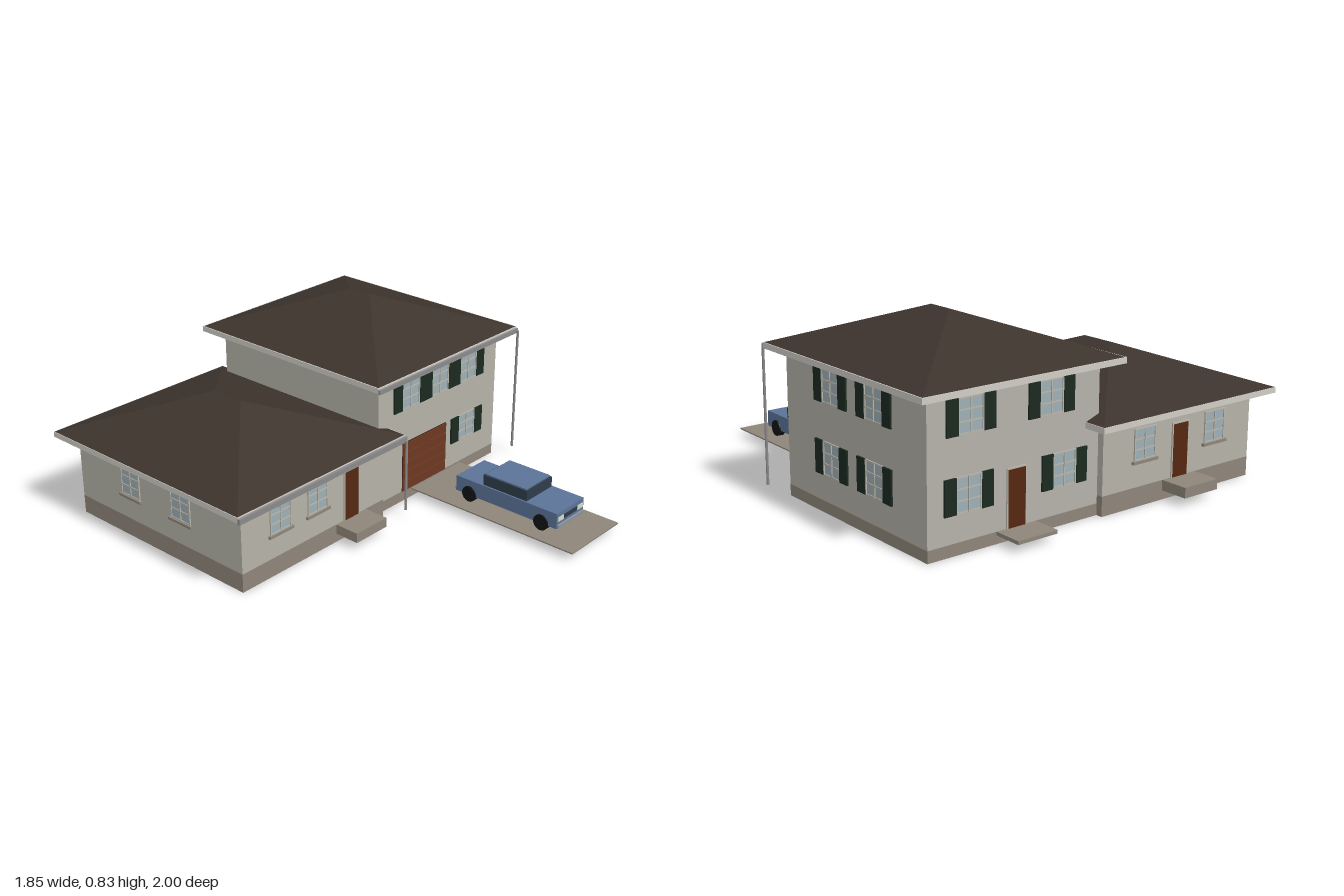
import * as THREE from 'three';

const mat = (color, extra = {}) => new THREE.MeshStandardMaterial({ color, ...extra });
const M = {
  wall: mat(0xb4b2a8), base: mat(0x8f867a), roof: mat(0x3d332d, { flatShading: true }), trim: mat(0xd0cdc6),
  gutter: mat(0x8c8a8c), shutter: mat(0x1b2a1f), door: mat(0x552711), garage: mat(0x6d3823), groove: mat(0x3a1c10),
  glass: mat(0x9db0b4), frame: mat(0xb8b4aa), paint: mat(0x5b7498), carGlass: mat(0x2e3d4a), tyre: mat(0x121314),
  chrome: mat(0x8d949c), lamp: mat(0xd8d8c8),
};

// Box given by its min and max on each axis
function box(parent, name, m, x0, x1, y0, y1, z0, z1) {
  const mesh = new THREE.Mesh(new THREE.BoxGeometry(x1 - x0, y1 - y0, z1 - z0), m);
  mesh.position.set((x0 + x1) / 2, (y0 + y1) / 2, (z0 + z1) / 2);
  mesh.name = name;
  parent.add(mesh);
  return mesh;
}

// Hip roof: rectangle at the eaves rising to a ridge along z
function hipRoof(x0, x1, z0, z1, y0, y1, ridge0, ridge1) {
  const xm = (x0 + x1) / 2;
  const a = [x0, y0, z1], b = [x1, y0, z1], c = [x1, y0, z0], d = [x0, y0, z0];
  const f = [xm, y1, ridge1], k = [xm, y1, ridge0];
  const tris = [a, b, f, b, c, k, b, k, f, c, d, k, d, a, f, d, f, k, a, d, c, a, c, b];
  const g = new THREE.BufferGeometry();
  g.setAttribute('position', new THREE.Float32BufferAttribute(tris.flat(), 3));
  g.computeVertexNormals();
  const mesh = new THREE.Mesh(g, M.roof);
  mesh.name = 'hipRoof';
  return mesh;
}

// Local frame on a wall: +z points outward, x runs along the wall
function onWall(parent, name, side, u, at) {
  const g = new THREE.Group();
  g.name = name;
  if (side === 'front' || side === 'back') g.position.set(u, 0, at);
  else g.position.set(at, 0, u);
  g.rotation.y = { front: 0, back: Math.PI, left: Math.PI / 2, right: -Math.PI / 2 }[side];
  parent.add(g);
  return g;
}

function addWindow(parent, side, u, at, y0, y1, shutters) {
  const g = onWall(parent, 'window', side, u, at);
  const w = 0.06, t = 0.006;
  box(g, 'glass', M.glass, -w, w, y0, y1, -0.004, 0.002);
  for (const x of [-w, -t / 2, w - t]) box(g, 'frameUpright', M.frame, x, x + t, y0, y1, 0, 0.006);
  for (const k of [0, 1 / 3, 2 / 3, 1]) {
    const y = y0 + (y1 - y0 - t) * k;
    box(g, 'frameBar', M.frame, -w, w, y, y + t, 0, 0.005);
  }
  if (shutters) {
    for (const s of [-1, 1]) box(g, 'shutter', M.shutter, s * 0.0875 - 0.0275, s * 0.0875 + 0.0275, y0, y1, 0, 0.008);
  } else {
    box(g, 'sill', M.base, -0.07, 0.07, y0 - 0.012, y0, 0, 0.012);
  }
}

function addDoor(parent, side, u, at, y0, y1) {
  const g = onWall(parent, 'door', side, u, at);
  box(g, 'doorLeaf', M.door, -0.043, 0.043, y0, y1, -0.004, 0.005);
  for (const s of [-1, 1]) box(g, 'jamb', M.frame, s * 0.046 - 0.003, s * 0.046 + 0.003, y0, y1, 0, 0.006);
  box(g, 'lintel', M.frame, -0.049, 0.049, y1, y1 + 0.006, 0, 0.006);
}

function addSpout(parent, x, z, y1) {
  const spout = new THREE.Mesh(new THREE.CylinderGeometry(0.006, 0.006, y1 - 0.04, 8), M.gutter);
  spout.position.set(x, (y1 + 0.04) / 2, z);
  spout.name = 'downspout';
  parent.add(spout);
}

function buildLowWing() {
  const g = new THREE.Group();
  g.name = 'lowWing';
  box(g, 'foundation', M.base, -0.85, 0.01, 0, 0.085, -0.87, 0.15);
  box(g, 'walls', M.wall, -0.85, 0.01, 0.085, 0.375, -0.87, 0.15);
  box(g, 'eaves', M.trim, -0.925, 0.08, 0.375, 0.4, -0.947, 0.215);
  g.add(hipRoof(-0.922, 0.077, -0.944, 0.212, 0.4, 0.58, -0.445, -0.285));
  box(g, 'gutter', M.gutter, -0.925, 0.08, 0.37, 0.395, 0.215, 0.227);
  addSpout(g, 0.07, 0.232, 0.38);
  for (const x of [-0.63, -0.41]) addWindow(g, 'front', x, 0.15, 0.198, 0.335);
  for (const x of [-0.63, -0.22]) addWindow(g, 'back', x, -0.87, 0.198, 0.335);
  for (const z of [-0.53, -0.21]) addWindow(g, 'right', z, -0.85, 0.198, 0.335);
  addDoor(g, 'front', -0.2, 0.15, 0.085, 0.315);
  addDoor(g, 'back', -0.425, -0.87, 0.085, 0.315);
  box(g, 'frontStep', M.base, -0.295, -0.105, 0.04, 0.085, 0.15, 0.27);
  box(g, 'backStep', M.base, -0.52, -0.33, 0.04, 0.085, -1, -0.87);
  return g;
}

function buildTallBlock() {
  const g = new THREE.Group();
  g.name = 'tallBlock';
  box(g, 'foundation', M.base, 0.01, 0.85, 0, 0.05, -0.84, 0.12);
  box(g, 'walls', M.wall, 0.01, 0.85, 0.05, 0.635, -0.84, 0.12);
  box(g, 'eaves', M.trim, -0.063, 0.922, 0.63, 0.655, -0.915, 0.182);
  g.add(hipRoof(-0.058, 0.917, -0.91, 0.178, 0.655, 0.83, -0.425, -0.305));
  box(g, 'gutter', M.gutter, -0.063, 0.922, 0.627, 0.648, 0.182, 0.192);
  addSpout(g, 0.913, 0.197, 0.64);
  for (const x of [0.225, 0.43, 0.635]) addWindow(g, 'front', x, 0.12, 0.457, 0.605, true);
  addWindow(g, 'front', 0.635, 0.12, 0.165, 0.292, true);
  for (const z of [-0.21, -0.51]) {
    addWindow(g, 'left', z, 0.85, 0.463, 0.605, true);
    addWindow(g, 'left', z, 0.85, 0.162, 0.305, true);
  }
  for (const x of [0.65, 0.26]) addWindow(g, 'back', x, -0.84, 0.463, 0.605, true);
  for (const x of [0.66, 0.19]) addWindow(g, 'back', x, -0.84, 0.162, 0.305, true);
  addDoor(g, 'back', 0.43, -0.84, 0.05, 0.285);
  box(g, 'backStep', M.base, 0.33, 0.525, 0.035, 0.05, -0.967, -0.84);

  // Sectional garage door
  box(g, 'garageBacking', M.groove, 0.175, 0.48, 0.05, 0.292, 0.116, 0.122);
  const n = 5, h = 0.242 / n;
  for (let i = 0; i < n; i++) {
    box(g, 'garagePanel', M.garage, 0.175, 0.48, 0.052 + i * h, 0.05 + (i + 1) * h - 0.002, 0.118, 0.127);
  }
  return g;
}

function buildCar() {
  const g = new THREE.Group();
  g.name = 'car';
  box(g, 'body', M.paint, 0.322, 0.526, 0.072, 0.145, 0.318, 0.862);
  box(g, 'cabinGlass', M.carGlass, 0.33, 0.518, 0.145, 0.194, 0.462, 0.697);
  box(g, 'cabinRoof', M.paint, 0.334, 0.514, 0.194, 0.2, 0.47, 0.689);
  for (const z of [0.318, 0.862]) box(g, 'bumper', M.chrome, 0.326, 0.522, 0.074, 0.09, z - 0.008, z + 0.008);
  box(g, 'grille', M.carGlass, 0.375, 0.473, 0.105, 0.125, 0.86, 0.865);
  for (const s of [-1, 1]) {
    const x = 0.424 + s * 0.073;
    box(g, 'headlamp', M.lamp, x - 0.02, x + 0.02, 0.105, 0.125, 0.86, 0.866);
    box(g, 'tailLamp', M.door, x - 0.02, x + 0.02, 0.105, 0.125, 0.314, 0.319);
    for (const z of [0.393, 0.783]) {
      const wheel = new THREE.Mesh(new THREE.CylinderGeometry(0.037, 0.037, 0.03, 20), M.tyre);
      wheel.rotation.z = Math.PI / 2;
      wheel.position.set(0.424 + s * 0.093, 0.078, z);
      wheel.name = 'wheel';
      g.add(wheel);
    }
  }
  return g;
}

export function createModel() {
  const house = new THREE.Group();
  house.name = 'house';
  house.add(buildLowWing(), buildTallBlock(), buildCar());
  box(house, 'driveway', M.base, 0.245, 0.6, 0.035, 0.041, 0.12, 1);
  return house;
}
